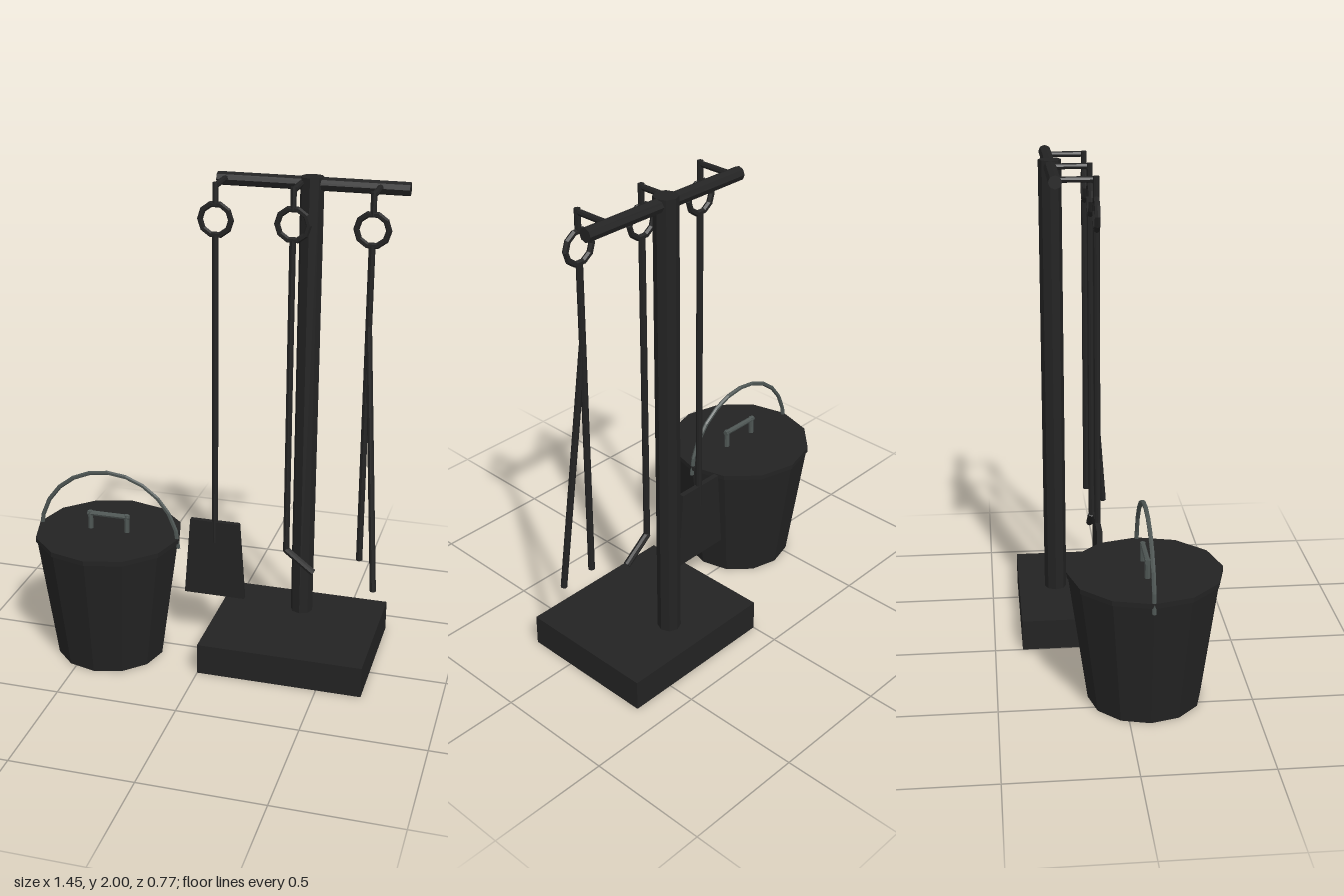
import * as THREE from 'three';

export function createModel() {
  const root = new THREE.Group();
  root.name = 'fireplaceToolSet';
  const iron = new THREE.MeshStandardMaterial({ color: 0x232323, flatShading: true });
  iron.name = 'blackIron';
  const steel = new THREE.MeshStandardMaterial({ color: 0x4d5553, flatShading: true });
  steel.name = 'greySteel';

  const add = (parent, name, geometry, material, x = 0, y = 0, z = 0) => {
    const mesh = new THREE.Mesh(geometry, material);
    mesh.name = name;
    mesh.position.set(x, y, z);
    parent.add(mesh);
    return mesh;
  };
  const group = (name) => {
    const g = new THREE.Group();
    g.name = name;
    root.add(g);
    return g;
  };
  // Faceted bar running between two points
  const bar = (parent, name, a, b, r, material = iron, sides = 8) => {
    const p = new THREE.Vector3(...a), q = new THREE.Vector3(...b);
    const d = q.clone().sub(p);
    const mesh = add(parent, name, new THREE.CylinderGeometry(r, r, d.length(), sides), material);
    mesh.position.copy(p).add(q).multiplyScalar(0.5);
    mesh.quaternion.setFromUnitVectors(new THREE.Vector3(0, 1, 0), d.normalize());
    return mesh;
  };

  // Stand
  const stand = group('stand');
  const postX = 0.342, postZ = -0.226, toolZ = -0.068;
  add(stand, 'base', new THREE.BoxGeometry(0.684, 0.13, 0.585), iron, postX, 0.065, -0.0925);
  bar(stand, 'post', [postX, 0.13, postZ], [postX, 2, postZ], 0.047);
  bar(stand, 'crossbar', [-0.035, 1.973, postZ], [0.722, 1.973, postZ], 0.027);

  // Three hooks, each carrying a ring and a rod
  const tools = [['shovel', 0], ['poker', 0.305], ['tongs', 0.61]].map(([name, x]) => {
    bar(stand, 'hookArm', [x, 1.977, postZ], [x, 1.977, toolZ - 0.012], 0.012);
    bar(stand, 'hookDrop', [x, 1.989, toolZ], [x, 1.9, toolZ], 0.012);
    const tool = group(name);
    add(tool, 'ring', new THREE.TorusGeometry(0.062, 0.012, 6, 10), iron, x, 1.845, toolZ);
    bar(tool, 'rod', [x, 1.785, toolZ], [x, 0.475, toolZ], 0.013);
    return tool;
  });

  // Shovel blade, wider at the bottom
  const blade = new THREE.Shape([
    new THREE.Vector2(-0.13, 0.23), new THREE.Vector2(0.13, 0.23),
    new THREE.Vector2(0.105, 0.57), new THREE.Vector2(-0.105, 0.57),
  ]);
  add(tools[0], 'blade', new THREE.ExtrudeGeometry(blade, { depth: 0.022, bevelEnabled: false }),
    iron, 0, 0, toolZ - 0.011);

  // Poker tip and second leg of the tongs
  bar(tools[1], 'tip', [0.302, 0.482, toolZ], [0.42, 0.39, toolZ], 0.015);
  bar(tools[2], 'splayedLeg', [0.61, 1.47, toolZ], [0.685, 0.385, 0.015], 0.013);

  // Bucket with lid, bail and lid handle
  const bucket = group('bucket');
  bucket.position.set(-0.415, 0, 0.08);
  add(bucket, 'body', new THREE.CylinderGeometry(0.298, 0.225, 0.525, 12), iron, 0, 0.2625, 0);
  add(bucket, 'lid', new THREE.CylinderGeometry(0.304, 0.304, 0.02, 12), iron, 0, 0.533, 0);
  add(bucket, 'bail', new THREE.TorusGeometry(0.3, 0.009, 6, 12, Math.PI), steel, 0, 0.5, 0);
  for (const s of [-1, 1]) {
    bar(bucket, 'lidHandleLeg', [s * 0.079, 0.54, 0], [s * 0.079, 0.62, 0], 0.011, steel);
  }
  bar(bucket, 'lidHandleGrip', [-0.09, 0.611, 0], [0.09, 0.611, 0], 0.011, steel);

  return root;
}
